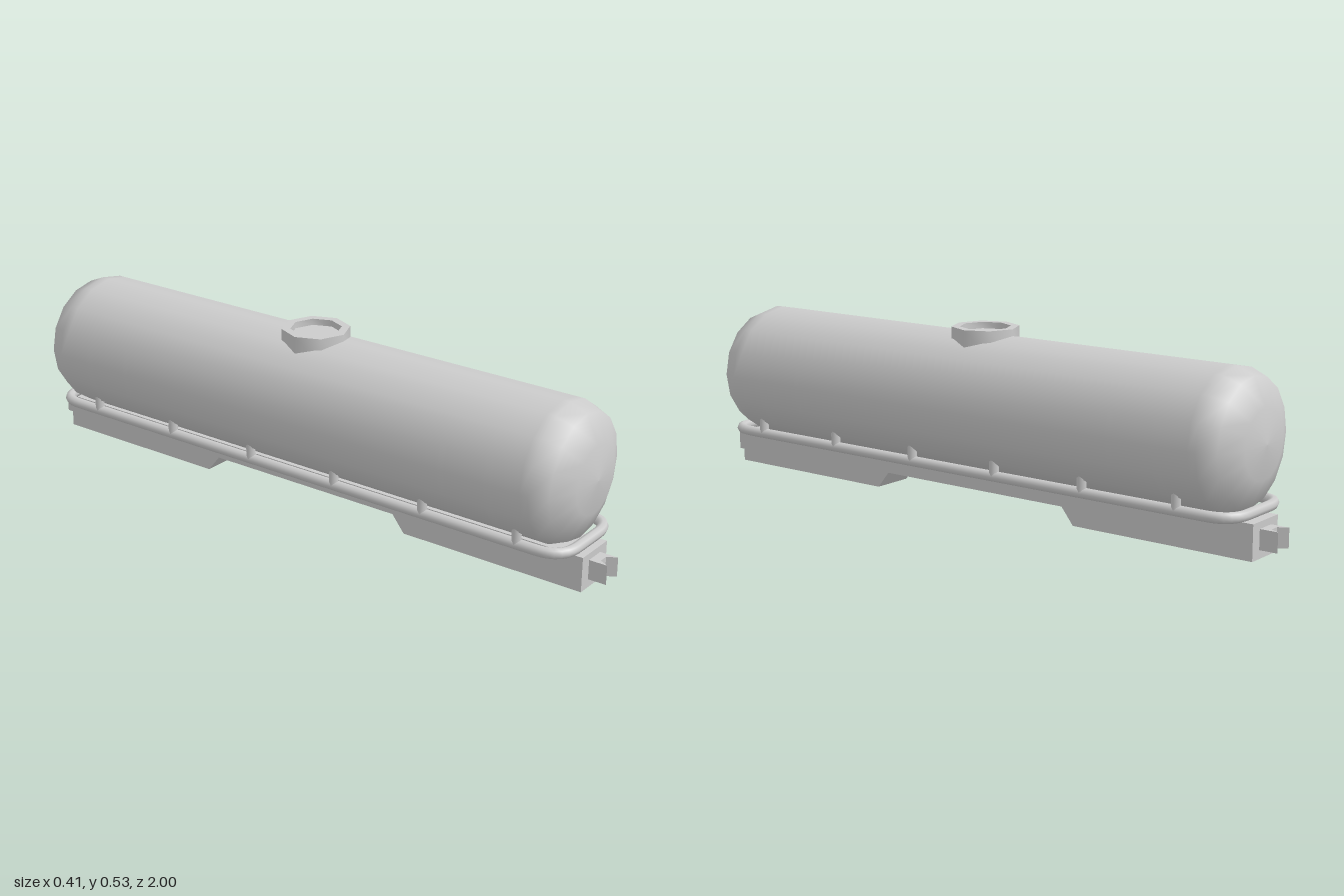
import * as THREE from 'three';
import { toCreasedNormals } from 'three/addons/utils/BufferGeometryUtils.js';

const material = new THREE.MeshStandardMaterial({ color: 0xcccccc });
const thinMaterial = new THREE.MeshStandardMaterial({ color: 0xcccccc, side: THREE.DoubleSide });
const v2 = (x, y) => new THREE.Vector2(x, y);
const TANK_Y = 0.305;

export function createModel() {
  const model = new THREE.Group();
  const add = (name, geometry, x = 0, y = 0, z = 0, mat = material) => {
    const mesh = new THREE.Mesh(geometry, mat);
    mesh.name = name;
    mesh.position.set(x, y, z);
    model.add(mesh);
    return mesh;
  };

  // Tank: 16-sided barrel with domed ends, lying along z
  const half = [[0.202, 0.82], [0.202, 0.845], [0.18, 0.898], [0.1, 0.934], [0, 0.943]];
  const profile = [
    ...half.slice().reverse().map(([r, z]) => v2(r, -z)),
    ...half.map(([r, z]) => v2(r, z)),
  ];
  add('tank', new THREE.LatheGeometry(profile, 16).rotateX(Math.PI / 2), 0, TANK_Y, 0);

  // Octagonal filler hatch with a recessed top
  const hatch = new THREE.LatheGeometry(
    [v2(0.1, 0.45), v2(0.1, 0.527), v2(0.075, 0.527), v2(0.075, 0.508), v2(0, 0.508)], 8);
  add('hatch', toCreasedNormals(hatch, Math.PI * 0.3));

  // Thin curved straps on the flanks of the tank
  for (const side of [1, -1]) {
    for (const end of [1, -1]) {
      for (const [z, angle, width] of [[0.722, Math.PI / 4, 0.026], [0.573, Math.PI / 8, 0.02]]) {
        const strap = new THREE.CylinderGeometry(0.204, 0.204, width, Math.round(angle * 16 / Math.PI),
          1, true, side * Math.PI / 2 - angle, angle * 2);
        add('tankStrap', strap.rotateX(Math.PI / 2), 0, TANK_Y, end * z, thinMaterial);
      }
    }
  }

  // Centre sill with a raised middle, extruded across x
  const sill = new THREE.Shape([
    v2(-0.945, 0), v2(-0.365, 0), v2(-0.325, 0.05), v2(0.325, 0.05),
    v2(0.365, 0), v2(0.945, 0), v2(0.945, 0.103), v2(-0.945, 0.103),
  ]);
  const sillGeometry = new THREE.ExtrudeGeometry(sill, { depth: 0.13, bevelEnabled: false });
  add('centreSill', sillGeometry.translate(0, 0, -0.065).rotateY(-Math.PI / 2));

  // Couplers with a notched outer face
  const notch = new THREE.Shape([
    v2(-0.03, 0.94), v2(0.03, 0.94), v2(0.03, 1), v2(0.014, 0.972), v2(-0.014, 0.972), v2(-0.03, 1),
  ]);
  for (const turn of [0, Math.PI]) {
    const coupler = new THREE.ExtrudeGeometry(notch, { depth: 0.058, bevelEnabled: false });
    add('coupler', coupler.rotateX(Math.PI / 2), 0, 0.083, 0).rotation.y = turn;
  }

  // Rail looping around the underside of the tank
  const X = 0.135, Z = 0.92, R = 0.08, railY = 0.123;
  const p = (x, z) => new THREE.Vector3(x, railY, z);
  const path = new THREE.CurvePath();
  let last = p(X, -Z + R);
  for (const [sx, sz] of [[1, 1], [-1, 1], [-1, -1], [1, -1]]) {
    const alongSide = p(sx * X, sz * (Z - R));
    const alongEnd = p(sx * (X - R), sz * Z);
    const [from, to] = sx === sz ? [alongSide, alongEnd] : [alongEnd, alongSide];
    path.add(new THREE.LineCurve3(last, from));
    path.add(new THREE.QuadraticBezierCurve3(from, p(sx * X, sz * Z), to));
    last = to;
  }
  add('rail', new THREE.TubeGeometry(path, 240, 0.016, 8, true));

  // Short posts joining the rail to the tank
  for (const side of [1, -1]) {
    for (let i = 0; i < 6; i++) {
      add('railPost', new THREE.CylinderGeometry(0.014, 0.014, 0.07, 8), side * 0.136, 0.155, 0.78 - i * 0.306);
    }
  }
  return model;
}
